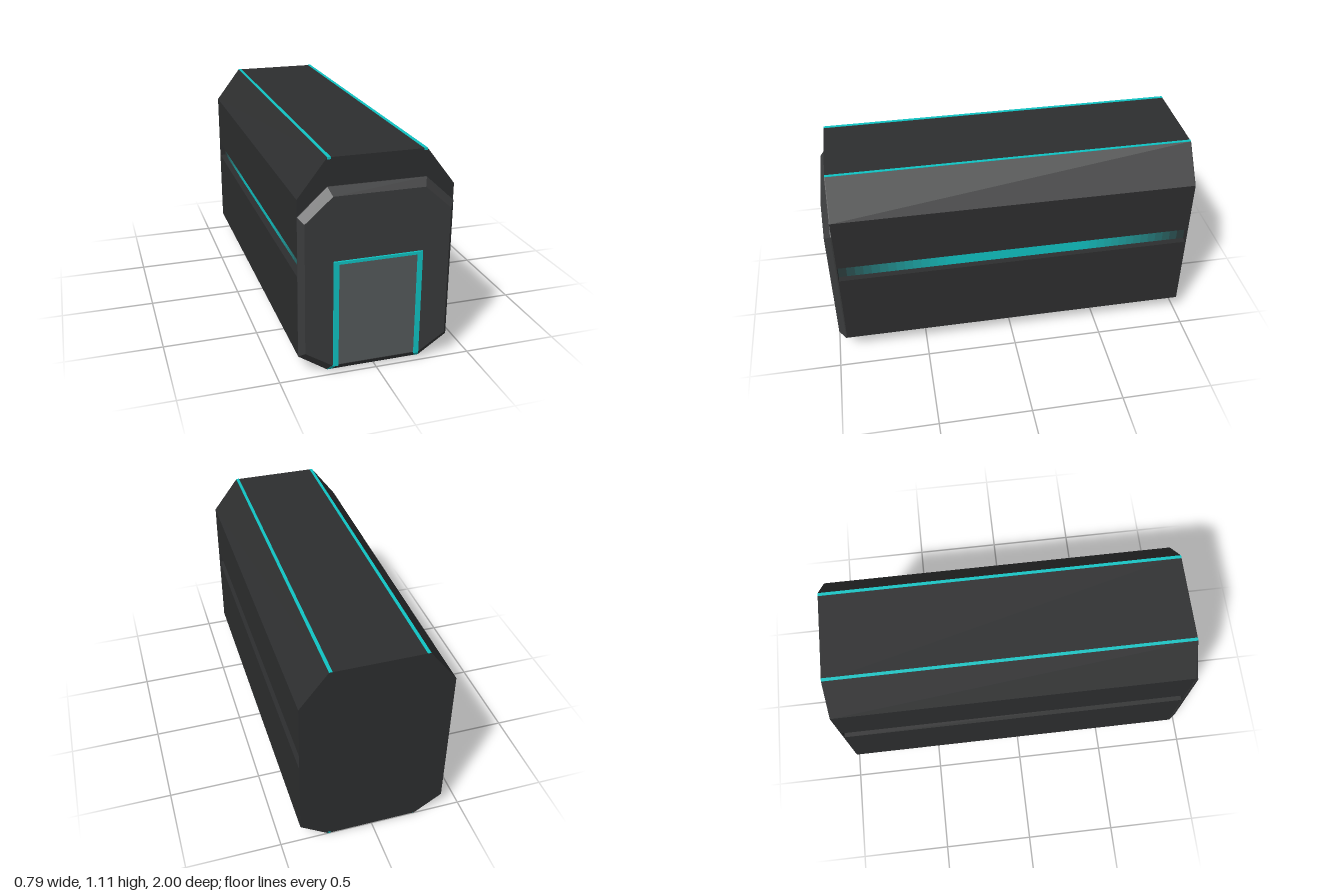
import * as THREE from 'three';
import { ConvexGeometry } from 'three/addons/geometries/ConvexGeometry.js';

const BACK = -1, FRONT = 0.95, FACE = 0.99;
const GROOVE_LOW = 0.53, GROOVE_HIGH = 0.62, GROOVE_X = 0.355;
const DARK = 0x2d2e2f, CYAN = 0x10c4c4;
const material = (color) => new THREE.MeshStandardMaterial({ color, flatShading: true });

export function createModel() {
  const group = new THREE.Group();
  const dark = material(DARK), cyan = material(CYAN);
  const panelMat = material(0x3a3b3c), screenMat = material(0x555a5c);

  const add = (name, geometry, mat, x = 0, y = 0, z = 0) => {
    const mesh = new THREE.Mesh(geometry, mat);
    mesh.name = name;
    mesh.position.set(x, y, z);
    group.add(mesh);
  };
  const box = (name, mat, x0, x1, y0, y1, z0, z1) =>
    add(name, new THREE.BoxGeometry(x1 - x0, y1 - y0, z1 - z0), mat,
      (x0 + x1) / 2, (y0 + y1) / 2, (z0 + z1) / 2);

  // Mirrors the right half of a profile, listed from bottom to top
  const mirrored = (half) => [...half, ...half.slice().reverse().map(([x, y]) => [-x, y])];
  const extrude = (half, depth) => new THREE.ExtrudeGeometry(
    new THREE.Shape(mirrored(half).map(([x, y]) => new THREE.Vector2(x, y))),
    { depth, bevelEnabled: false });

  // Long body with a groove along each side, closed at both ends
  const lower = [[0.245, 0], [0.393, 0.1]], upper = [[0.393, 0.92], [0.247, 1.11]];
  const groove = [[0.393, GROOVE_LOW], [GROOVE_X, GROOVE_LOW], [GROOVE_X, GROOVE_HIGH], [0.393, GROOVE_HIGH]];
  const cap = 0.004;
  add('body', extrude([...lower, ...groove, ...upper], FRONT - BACK - 2 * cap), dark, 0, 0, BACK + cap);
  add('backCap', extrude([...lower, ...upper], cap), dark, 0, 0, BACK);
  add('frontCap', extrude([...lower, ...upper], cap), dark, 0, 0, FRONT - cap);

  // Bevelled front panel
  const outer = mirrored([[0.245, 0], [0.393, 0.1], [0.393, 0.835], [0.247, 0.97]]);
  const inner = mirrored([[0.228, 0.04], [0.367, 0.13], [0.367, 0.81], [0.23, 0.932]]);
  add('frontPanel', new ConvexGeometry([
    ...outer.map(([x, y]) => new THREE.Vector3(x, y, FRONT - 0.002)),
    ...outer.map(([x, y]) => new THREE.Vector3(x, y, FRONT + 0.005)),
    ...inner.map(([x, y]) => new THREE.Vector3(x, y, FACE)),
  ]), panelMat);

  // Screen and its glowing frame
  box('screen', screenMat, -0.2, 0.2, 0.045, 0.592, FACE - 0.005, FACE + 0.004);
  box('frameTop', cyan, -0.225, 0.225, 0.59, 0.605, FACE - 0.005, 1);

  for (const side of [1, -1]) {
    const span = (a, b) => (side > 0 ? [a, b] : [-b, -a]);
    box('frameSide', cyan, ...span(0.2, 0.226), 0.04, 0.605, FACE - 0.005, 1);

    // Frame foot running down the lower bevel
    const foot = [];
    for (const lift of [-0.008, 0.004]) {
      for (const [x, y, z] of [[0.2, 0.045, FACE], [0.226, 0.045, FACE], [0.222, 0.002, FRONT + 0.005], [0.245, 0.002, FRONT + 0.005]])
        foot.push(new THREE.Vector3(side * x, y, z + lift));
    }
    add('frameFoot', new ConvexGeometry(foot), cyan);

    // Light strips along the top and bottom edges
    box('topStrip', cyan, ...span(0.23, 0.247), 1.1, 1.112, BACK, FRONT);
    box('bottomStrip', cyan, ...span(0.228, 0.245), -0.002, 0.01, BACK, FRONT);

    // Light in the side groove, fading to the body colour at both ends
    const floor = span(GROOVE_X - 0.004, GROOVE_X + 0.003);
    const strip = (mat, z0, z1) => box('grooveLight', mat, ...floor, GROOVE_LOW, GROOVE_HIGH, z0, z1);
    const brightBack = -0.4, brightFront = 0.32, steps = 14;
    strip(cyan, brightBack, brightFront);
    for (let i = 0; i < steps; i++) {
      const fade = material(new THREE.Color(CYAN).lerp(new THREE.Color(DARK), (i + 0.5) / steps));
      const a = i / steps, b = (i + 1) / steps;
      const mix = THREE.MathUtils.lerp;
      strip(fade, mix(brightFront, FRONT - cap, a), mix(brightFront, FRONT - cap, b));
      strip(fade, mix(brightBack, BACK + cap, b), mix(brightBack, BACK + cap, a));
    }
  }
  return group;
}
